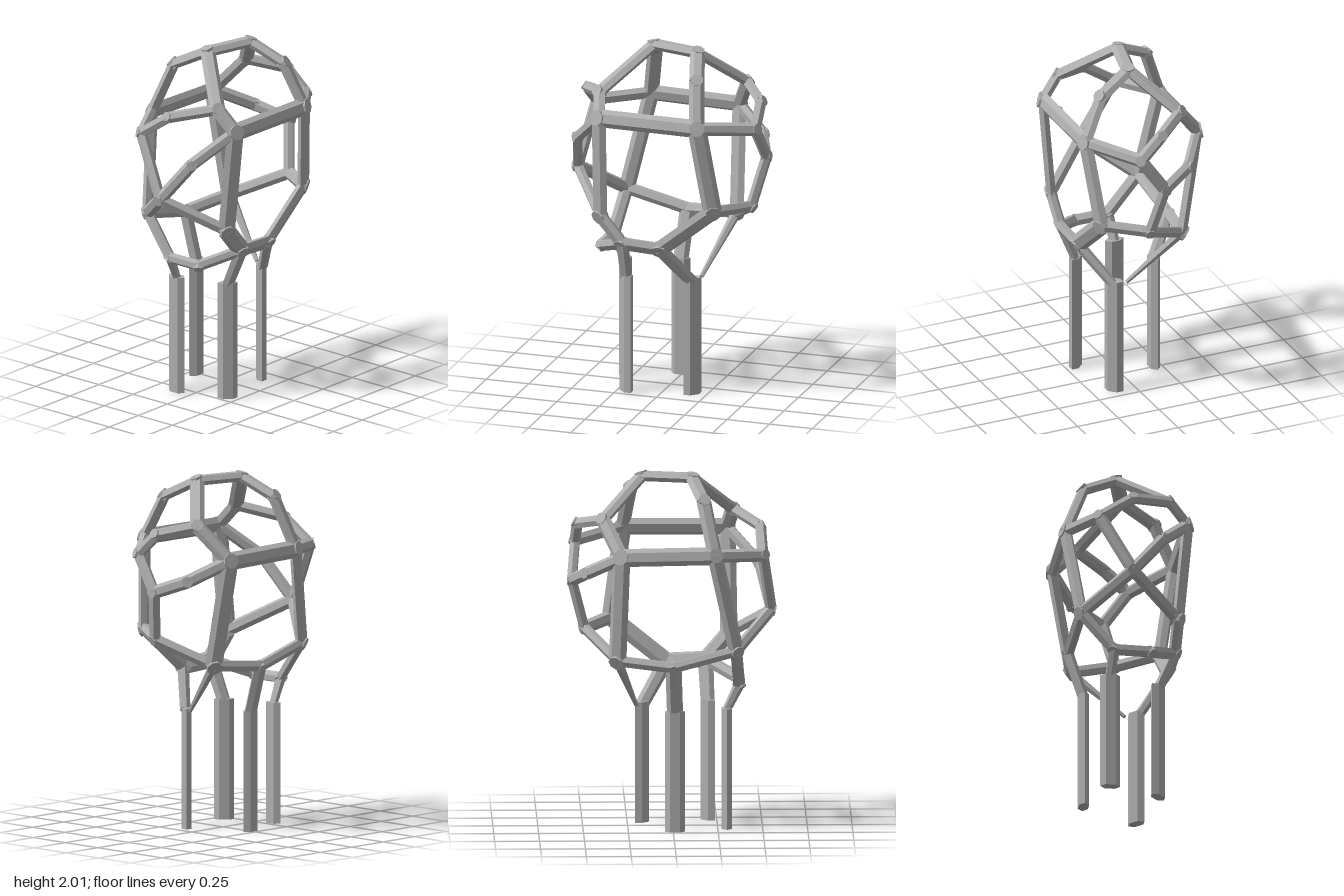
import * as THREE from 'three';

const V = (p) => new THREE.Vector3(...p);

// Centre points of the cage joints
const N = {
  topBack: [0.035, 1.97, -0.17], topFront: [-0.035, 1.97, 0.11],
  crownFront: [0.23, 1.75, 0.34], crownBack: [-0.18, 1.76, -0.39],
  leftFront: [0.335, 1.63, 0.31], leftBack: [0.345, 1.63, -0.27],
  rightFront: [-0.34, 1.58, 0.23], rightBack: [-0.335, 1.57, -0.29],
  browFront: [-0.19, 1.56, 0.50], browBack: [0.13, 1.59, -0.54],
  noseFront: [-0.01, 1.22, 0.55], noseBack: [-0.01, 1.39, -0.56],
  tailBack: [0.05, 1.11, -0.49],
  lowLeftFront: [0.28, 1.04, 0.32], lowLeftBack: [0.28, 1.13, -0.34],
  lowRightFront: [-0.27, 1.03, 0.35], lowRightBack: [-0.23, 0.97, -0.31],
  rimLeftFront: [0.28, 0.89, 0.19], rimLeftBack: [0.28, 0.88, -0.03],
  rimFront: [-0.09, 0.81, 0.37], rimRight: [-0.29, 0.94, 0],
};

// Struts: start, end, width, optional bend point
const STRUTS = [
  ['topBack', 'topFront', 0.085],
  ['topBack', 'crownBack', 0.08],
  ['topBack', 'leftBack', 0.085, [0.23, 1.87, -0.23]],
  ['topFront', 'crownFront', 0.085],
  ['topFront', 'rightFront', 0.085, [-0.23, 1.87, 0.17]],
  ['crownFront', 'leftFront', 0.085],
  ['crownFront', 'browFront', 0.065, [0, 1.69, 0.49]],
  ['crownBack', 'rightBack', 0.085],
  ['crownBack', 'browBack', 0.07, [0, 1.71, -0.53]],
  ['leftFront', 'leftBack', 0.1],
  ['leftFront', 'noseFront', 0.07, [0.17, 1.45, 0.49]],
  ['leftFront', 'lowLeftFront', 0.105],
  ['leftBack', 'browBack', 0.075],
  ['leftBack', 'lowLeftBack', 0.105],
  ['rightFront', 'rightBack', 0.1],
  ['rightFront', 'browFront', 0.075],
  ['rightFront', 'lowRightFront', 0.09],
  ['rightBack', 'noseBack', 0.075, [-0.19, 1.46, -0.48]],
  ['rightBack', 'lowRightBack', 0.105],
  ['browFront', 'noseFront', 0.07],
  ['browBack', 'noseBack', 0.07],
  ['noseFront', 'lowLeftFront', 0.075],
  ['noseFront', 'lowRightFront', 0.075],
  ['noseBack', 'tailBack', 0.07],
  ['tailBack', 'lowLeftBack', 0.075],
  ['tailBack', 'lowRightBack', 0.07],
  ['lowLeftFront', 'rimLeftFront', 0.1],
  ['rimLeftFront', 'rimLeftBack', 0.1],
  ['rimLeftBack', 'lowLeftBack', 0.105],
  ['rimLeftFront', 'rimFront', 0.07, [0.12, 0.81, 0.37]],
  ['rimFront', 'lowRightFront', 0.075],
  ['lowRightFront', 'rimRight', 0.07],
  ['rimRight', 'lowRightBack', 0.07],
];

// Legs: x, z, and the direction their flat side faces
const LEGS = [
  { at: [-0.1, 0.3], face: [0, 0, 1] },
  { at: [0.185, 0.2], face: [0.7, 0, 0.7] },
  { at: [-0.205, 0.01], face: [-1, 0, 0] },
  { at: [0.12, -0.167], face: [0.7, 0, -0.7] },
];

// Braces: joint, foot point on a leg top, width at the joint, taper
const BRACES = [
  ['rimFront', [-0.1, 0.67, 0.3], 0.07, 0.8],
  ['rimLeftFront', [0.185, 0.66, 0.2], 0.09, 0.9],
  ['rimRight', [-0.205, 0.67, 0.01], 0.09, 1],
  ['rimLeftBack', [0.13, 0.66, -0.167], 0.085, 0.9],
  ['lowRightBack', [0.06, 0.67, -0.2], 0.06, 0.4],
];

export function createModel() {
  const model = new THREE.Group();
  model.name = 'latticeCageOnLegs';
  const grey = new THREE.MeshStandardMaterial({ color: 0xb0b0b0, flatShading: true });
  grey.name = 'grey';

  // Outward direction of the egg-shaped cage
  const outward = (p) =>
    new THREE.Vector3(p.x / 0.14, (p.y - 1.38) / 0.38, p.z / 0.33).normalize();

  // Flattened six-sided bar from a to b whose broad side faces along face
  function bar(name, a, b, face, width, thick, taper = 1) {
    const dir = b.clone().sub(a);
    const length = dir.length();
    dir.normalize();
    const x = face.clone().addScaledVector(dir, -face.dot(dir)).normalize();
    const z = x.clone().cross(dir);
    const geo = new THREE.CylinderGeometry(taper, 1, length, 6);
    geo.scale(thick / 2 / 0.866, 1, width / 2);
    geo.applyMatrix4(new THREE.Matrix4().makeBasis(x, dir, z));
    const mesh = new THREE.Mesh(geo, grey);
    mesh.name = name;
    mesh.position.copy(a).add(b).multiplyScalar(0.5);
    model.add(mesh);
  }

  // Faceted joint that closes the gap between bars
  function joint(name, p, width) {
    const n = outward(p);
    const geo = new THREE.CylinderGeometry(width * 0.42, width * 0.42, 0.05, 8);
    const mesh = new THREE.Mesh(geo, grey);
    mesh.name = name;
    mesh.position.copy(p);
    mesh.quaternion.setFromUnitVectors(new THREE.Vector3(0, 1, 0), n);
    model.add(mesh);
  }

  // Cage struts
  const widest = {};
  for (const [from, to, width, bend] of STRUTS) {
    for (const key of [from, to]) widest[key] = Math.max(widest[key] ?? 0, width);
    const path = bend ? [N[from], bend, N[to]] : [N[from], N[to]];
    for (let i = 0; i + 1 < path.length; i++) {
      const a = V(path[i]), b = V(path[i + 1]);
      bar('strut', a, b, outward(a.clone().lerp(b, 0.5)), width, 0.052);
    }
    if (bend) joint('bend', V(bend), width);
  }
  for (const key in N) joint('joint', V(N[key]), widest[key]);

  // Legs and the braces that tie them to the cage
  for (const { at: [x, z], face } of LEGS)
    bar('leg', V([x, 0, z]), V([x, 0.68, z]), V(face), 0.112, 0.056);
  for (const [key, foot, width, taper] of BRACES) {
    const a = V(N[key]), b = V(foot);
    bar('brace', a, b, V([a.x / 0.14, 0, a.z / 0.33]).normalize(), width, 0.05, taper);
  }

  return model;
}
